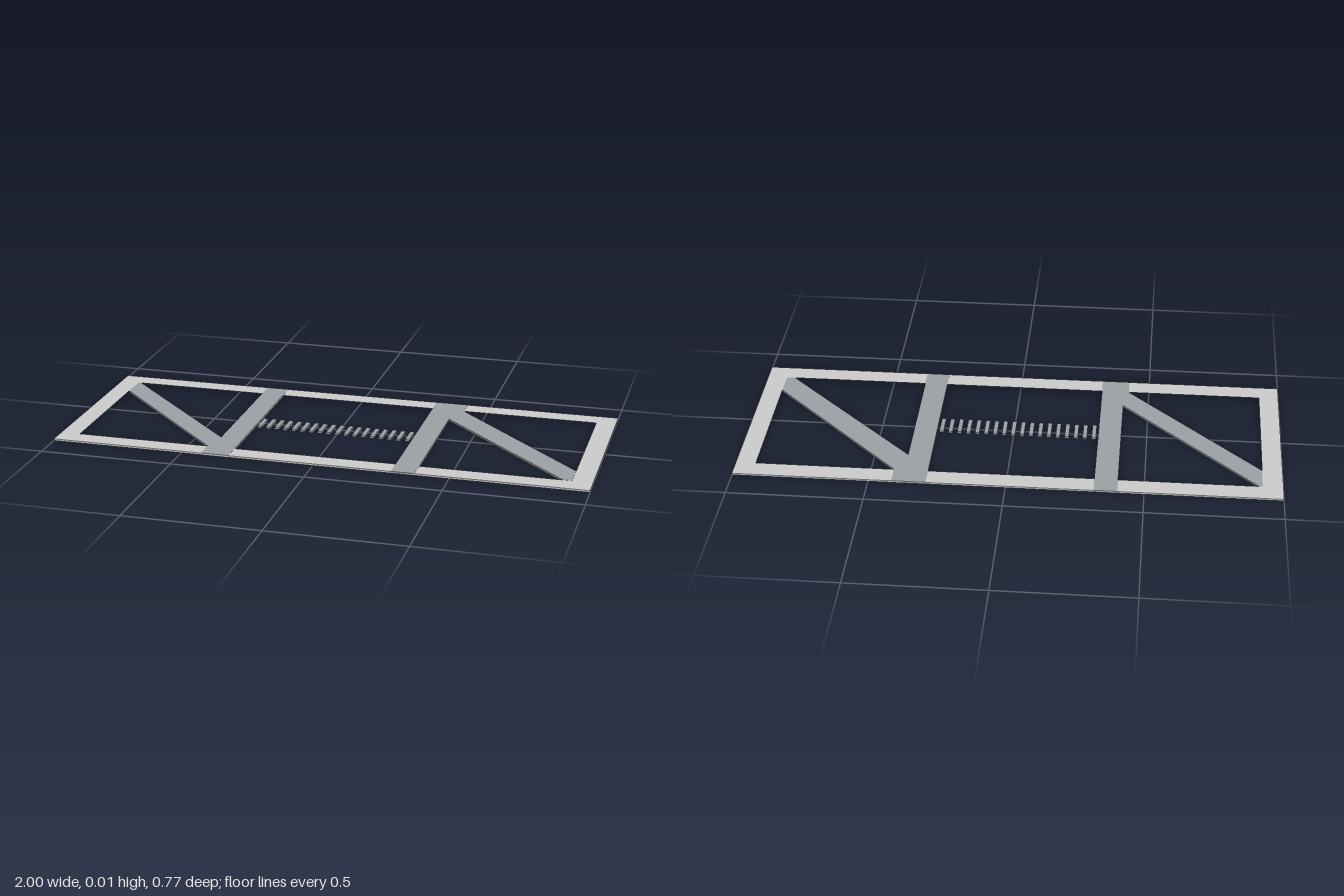
import * as THREE from 'three';

const T = 0.008; // overall thickness
const LIP = 0.0005; // braces stand slightly proud of the frame

export function createModel() {
  const group = new THREE.Group();
  const frameMat = new THREE.MeshStandardMaterial({ color: 0xcccccc });
  const braceMat = new THREE.MeshStandardMaterial({ color: 0x9ca1a6 });

  // Flat plate from an outline in (x, z), laid on the ground
  const plate = (name, points, y0, y1, mat, hole) => {
    const toShape = (pts, Type) => new Type(pts.map(([x, z]) => new THREE.Vector2(x, -z)));
    const shape = toShape(points, THREE.Shape);
    if (hole) shape.holes.push(toShape(hole, THREE.Path));
    const geo = new THREE.ExtrudeGeometry(shape, { depth: y1 - y0, bevelEnabled: false });
    geo.rotateX(-Math.PI / 2);
    const mesh = new THREE.Mesh(geo, mat);
    mesh.name = name;
    mesh.position.y = y0;
    group.add(mesh);
  };
  const rect = (x0, x1, z0, z1) => [[x0, z0], [x1, z0], [x1, z1], [x0, z1]];

  // Rectangular outer frame
  plate('outerFrame', rect(-1, 1, -0.385, 0.385), LIP, T - LIP, frameMat,
    rect(-0.926, 0.926, -0.309, 0.309));

  // Crossbars
  plate('rightCrossbar', rect(-0.404, -0.318, -0.385, 0.385), 0, T, braceMat);
  plate('leftCrossbar', rect(0.289, 0.376, -0.385, 0.385), 0, T, braceMat);

  // Diagonal braces, each with a short tab over the frame beside its crossbar
  plate('rightDiagonal', [[-0.926, -0.309], [-0.913, -0.309], [-0.404, 0.207], [-0.404, 0.385],
    [-0.422, 0.385], [-0.422, 0.309], [-0.926, -0.204]], 0, T, braceMat);
  plate('leftDiagonal', [[0.376, -0.385], [0.414, -0.385], [0.414, -0.309], [0.926, 0.212],
    [0.926, 0.309], [0.893, 0.309], [0.376, -0.206]], 0, T, braceMat);

  // Row of slats between the crossbars
  const slats = 18;
  for (let i = 0; i < slats; i++) {
    const x = -0.302 + (i / (slats - 1)) * 0.574;
    plate('slat', rect(x - 0.008, x + 0.008, -0.033, 0.056), 0, T, braceMat);
  }
  return group;
}
